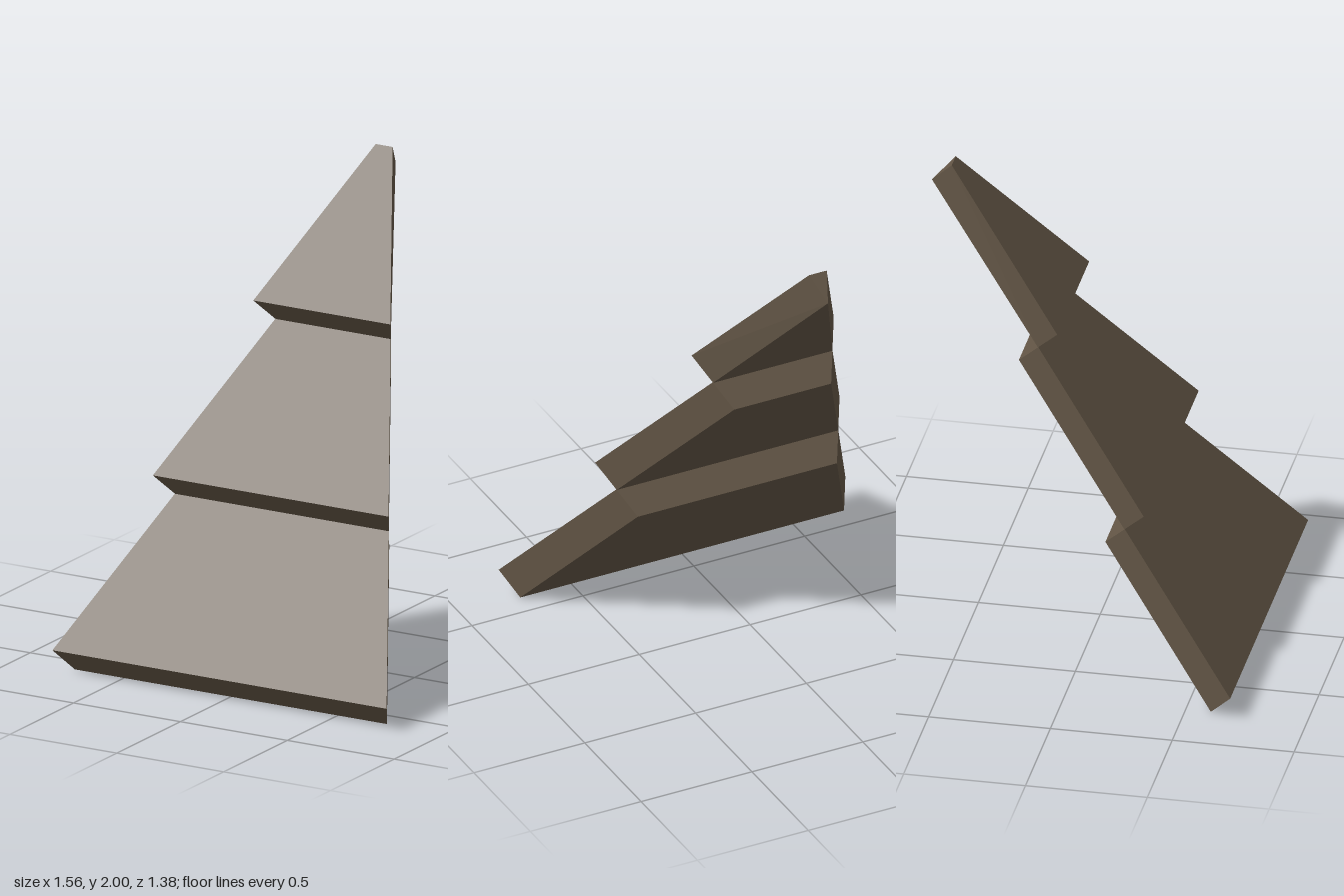
import * as THREE from 'three';

// Half width of the tapered silhouette at depth z
const halfWidth = (z) => Math.max(0, 0.5735 * (z + 0.67));

// Slanted slab: a box sheared backwards whose sides follow the taper
function slab(level) {
  const geometry = new THREE.BoxGeometry(1, 1, 1);
  const p = geometry.attributes.position;
  for (let i = 0; i < p.count; i++) {
    const top = p.getY(i) > 0 ? 1 : 0;
    const back = p.getZ(i) < 0 ? 1 : 0;
    const z = 0.693 - 0.49 * top - 0.09 * back - 0.402 * level;
    const y = 0.096 + 0.573 * top - 0.094 * back + 0.6655 * level;
    p.setXYZ(i, Math.sign(p.getX(i)) * halfWidth(z), Math.max(0, y), z);
  }
  // Rest the lowest edge exactly on the ground
  if (level === 0) {
    for (let i = 0; i < p.count; i++) if (p.getY(i) < 0.01) p.setY(i, 0);
  }
  geometry.computeVertexNormals();
  return geometry;
}

export function createModel() {
  const model = new THREE.Group();
  model.name = 'steppedRoofSide';
  const brown = new THREE.MeshStandardMaterial({ color: 0x625545, flatShading: true });
  brown.name = 'weathered brown';

  // Three overlapping tiers, narrowing towards the peak
  ['lowerSlab', 'middleSlab', 'upperSlab'].forEach((name, level) => {
    const mesh = new THREE.Mesh(slab(level), brown);
    mesh.name = name;
    model.add(mesh);
  });
  return model;
}
